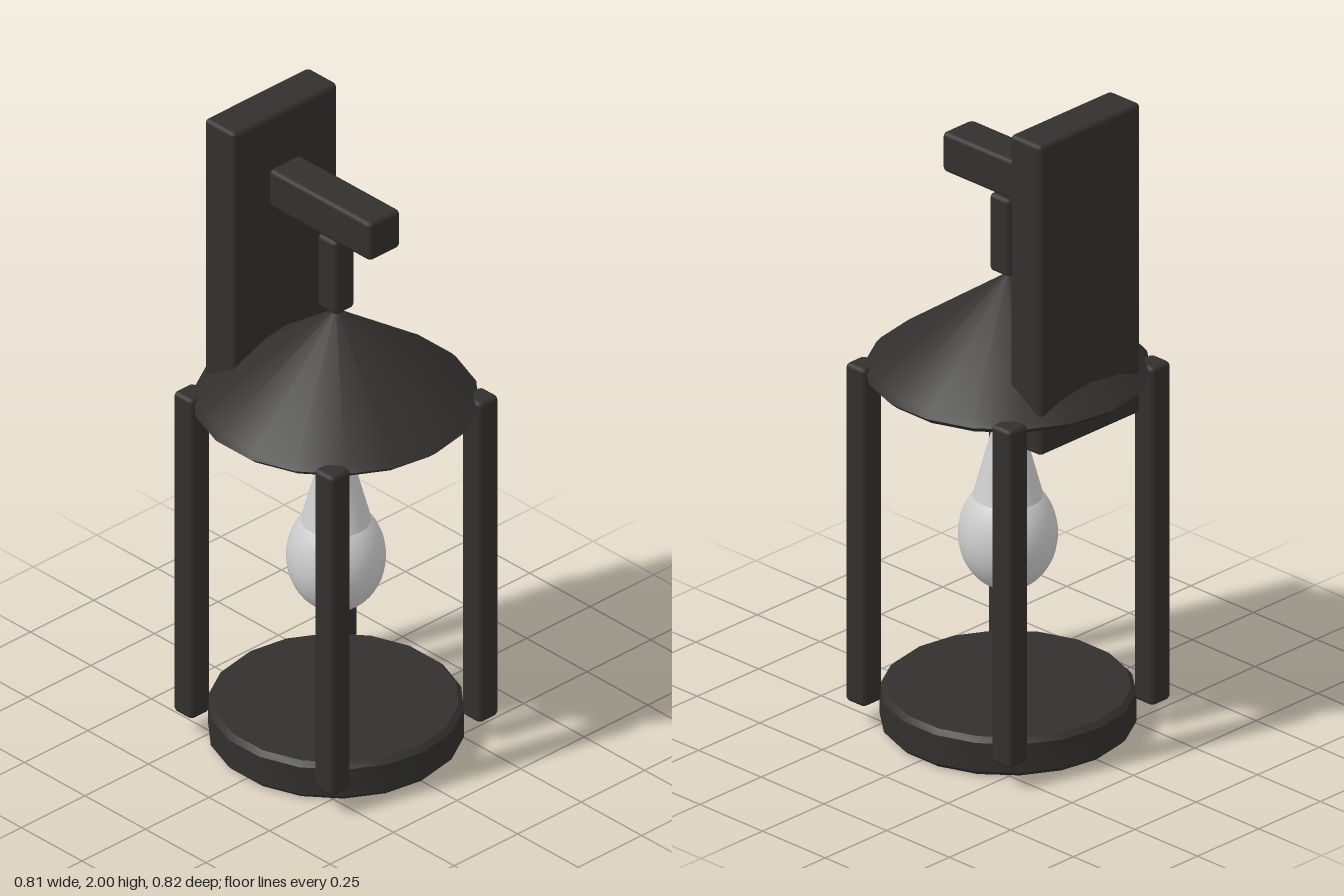
import * as THREE from 'three';
import { toCreasedNormals } from 'three/addons/utils/BufferGeometryUtils.js';
import { RoundedBoxGeometry } from 'three/addons/geometries/RoundedBoxGeometry.js';

const SIDES = 18;

export function createModel() {
  const model = new THREE.Group();
  model.name = 'wallLantern';
  const iron = new THREE.MeshStandardMaterial({ color: 0x31302e });
  const glass = new THREE.MeshStandardMaterial({ color: 0xcccccc });

  const add = (name, geometry, material, parent = model) => {
    const mesh = new THREE.Mesh(geometry, material);
    mesh.name = name;
    parent.add(mesh);
    return mesh;
  };

  // Chamfered box given by its limits on each axis
  const bar = (name, [x0, x1], [y0, y1], [z0, z1], bevel = 0.013) => {
    const box = new RoundedBoxGeometry(x1 - x0, y1 - y0, z1 - z0, 1, bevel);
    box.translate((x0 + x1) / 2, (y0 + y1) / 2, (z0 + z1) / 2);
    return add(name, box, iron);
  };

  // Turned part with crisp edges from [radius, y] pairs
  const turned = (name, profile) => {
    const points = profile.map(([r, y]) => new THREE.Vector2(r, y));
    return add(name, toCreasedNormals(new THREE.LatheGeometry(points, SIDES), 0.6), iron);
  };

  // Wall mounting
  bar('backPlate', [-0.205, 0.205], [1.02, 2.0], [-0.33, -0.207]);
  bar('arm', [-0.061, 0.061], [1.695, 1.82], [-0.22, 0.204]);
  bar('hangingLink', [-0.039, 0.039], [1.43, 1.675], [-0.039, 0.039]);

  // Roof and base, with bevelled rims
  turned('roof', [[0, 1.1], [0.385, 1.1], [0.411, 1.122], [0.395, 1.14], [0, 1.425]]);
  turned('base', [[0, 0.005], [0.352, 0.005], [0.367, 0.02], [0.367, 0.11], [0.352, 0.125], [0, 0.125]]);

  // Four corner posts
  for (const sx of [-1, 1]) {
    for (const sz of [-1, 1]) {
      const span = (s) => (s > 0 ? [0.252, 0.329] : [-0.329, -0.252]);
      bar('post', span(sx), [0.07, 1.14], span(sz));
    }
  }

  // Pear-shaped bulb: stretched sphere under a long cone
  const bulb = new THREE.Group();
  bulb.name = 'bulb';
  model.add(bulb);
  const globe = new THREE.SphereGeometry(0.143, 32, 20, 0, Math.PI * 2, Math.PI / 4, Math.PI * 0.75);
  globe.scale(1, 1.19, 1);
  globe.translate(0, 0.6, 0);
  add('bulbGlobe', globe, glass, bulb);
  const neck = new THREE.ConeGeometry(0.101, 0.38, 32, 1, true);
  neck.translate(0, 0.91, 0);
  add('bulbNeck', neck, glass, bulb);

  // Rest the base on the ground
  for (const child of model.children) {
    if (child.name === 'base') child.position.y = -0.005;
  }
  return model;
}
